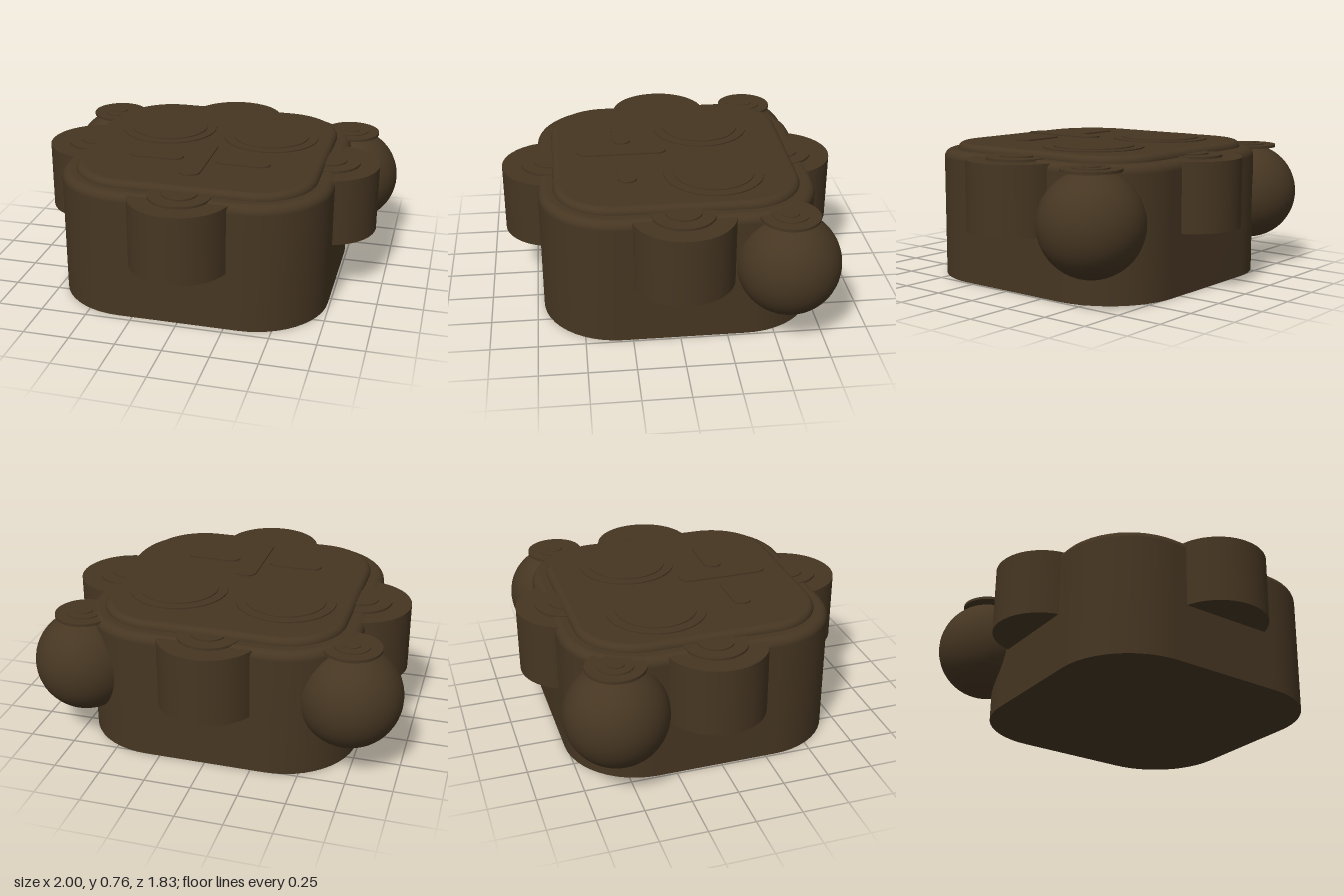
import * as THREE from 'three';

const brown = new THREE.MeshStandardMaterial({ color: 0x463622 });
brown.name = 'dark brown';

// Rounded-rectangle solid: rings of one outline, each given as [inset, y].
// A null inset closes the solid at its centre; a repeated ring keeps an edge sharp.
function loft(halfW, halfD, radius, profile, steps = 12) {
  const pos = [], index = [];
  const n = 4 * (steps + 1);
  for (const [inset, y] of profile) {
    for (let q = 0; q < 4; q++) {
      for (let s = 0; s <= steps; s++) {
        if (inset === null) { pos.push(0, y, 0); continue; }
        const a = (q + s / steps) * Math.PI / 2;
        const sx = q === 0 || q === 3 ? 1 : -1, sz = q < 2 ? 1 : -1;
        pos.push(sx * (halfW - radius) + Math.cos(a) * (radius - inset), y,
          sz * (halfD - radius) + Math.sin(a) * (radius - inset));
      }
    }
  }
  for (let j = 0; j < profile.length - 1; j++) {
    const [i0, y0] = profile[j], [i1, y1] = profile[j + 1];
    if (i0 === i1 && y0 === y1) continue;
    for (let k = 0; k < n; k++) {
      const a = j * n + k, b = j * n + (k + 1) % n, c = a + n, d = b + n;
      if (i1 !== null) index.push(b, c, d);
      if (i0 !== null) index.push(a, c, b);
    }
  }
  const g = new THREE.BufferGeometry();
  g.setAttribute('position', new THREE.Float32BufferAttribute(pos, 3));
  g.setIndex(index);
  g.computeVertexNormals();
  return g;
}

// Solid with a sharp foot and a rounded upper edge
function softBlock(halfW, halfD, radius, y0, y1, bevel) {
  const profile = [[null, y0], [0, y0], [0, y0]];
  for (let i = 0; i <= 6; i++) {
    const a = i / 6 * Math.PI / 2;
    profile.push([bevel * (1 - Math.cos(a)), y1 - bevel * (1 - Math.sin(a))]);
  }
  profile.push([bevel, y1], [null, y1]);
  return loft(halfW, halfD, radius, profile);
}

// Flat pill-shaped plate
function pill(halfW, halfD, y0, y1) {
  return loft(halfW, halfD, Math.min(halfW, halfD) - 0.001,
    [[null, y0], [0, y0], [0, y0], [0, y1], [0, y1], [null, y1]]);
}

function add(parent, name, geometry, x = 0, y = 0, z = 0) {
  const mesh = new THREE.Mesh(geometry, brown);
  mesh.name = name;
  mesh.position.set(x, y, z);
  parent.add(mesh);
  return mesh;
}

function disc(parent, name, r, y0, y1, x, z) {
  return add(parent, name, new THREE.CylinderGeometry(r, r, y1 - y0, 48), x, (y0 + y1) / 2, z);
}

export function createModel() {
  const model = new THREE.Group();
  model.name = 'model';

  // Main block and raised face plate
  add(model, 'body', softBlock(0.738, 0.738, 0.41, 0, 0.705, 0.045), 0, 0, -0.024);
  add(model, 'facePlate', softBlock(0.657, 0.657, 0.32, 0.66, 0.741, 0.035), 0, 0, -0.022);

  // Round lugs on the four sides, each with stepped discs on top
  const lugs = [['front', 0, 0.637], ['back', 0, -0.645], ['left', 0.67, -0.02], ['right', -0.67, -0.02]];
  for (const [side, x, z] of lugs) {
    const lug = new THREE.Group();
    lug.name = side + 'Lug';
    disc(lug, 'lugBody', 0.273, 0.325, 0.697, x, z);
    disc(lug, 'lugDisc', 0.168, 0.69, 0.71, x, z);
    disc(lug, 'lugButton', 0.095, 0.70, 0.718, x, z);
    model.add(lug);
  }

  for (const s of [1, -1]) {
    const side = s > 0 ? 'left' : 'right';

    // Ball ears at the back corners with stepped discs
    const ear = new THREE.Group();
    ear.name = side + 'Ear';
    add(ear, 'earBall', new THREE.SphereGeometry(0.273, 40, 28), s * 0.726, 0.42, -0.562);
    disc(ear, 'earDisc', 0.156, 0.682, 0.697, s * 0.722, -0.558);
    disc(ear, 'earRing', 0.095, 0.69, 0.703, s * 0.722, -0.558);
    disc(ear, 'earButton', 0.045, 0.70, 0.708, s * 0.722, -0.558);
    model.add(ear);

    // Eyes and cheek bars
    const eye = new THREE.Group();
    eye.name = side + 'Eye';
    disc(eye, 'eyeRim', 0.27, 0.735, 0.748, s * 0.3, -0.225);
    disc(eye, 'eyeDisc', 0.217, 0.746, 0.754, s * 0.3, -0.225);
    model.add(eye);
    add(model, side + 'Bar', pill(0.15, 0.049, 0.748, 0.756), s * 0.24, 0, 0.24);
  }

  // Long nose strip
  add(model, 'nose', pill(0.057, 0.249, 0.752, 0.76), 0, 0, 0.248);
  return model;
}
